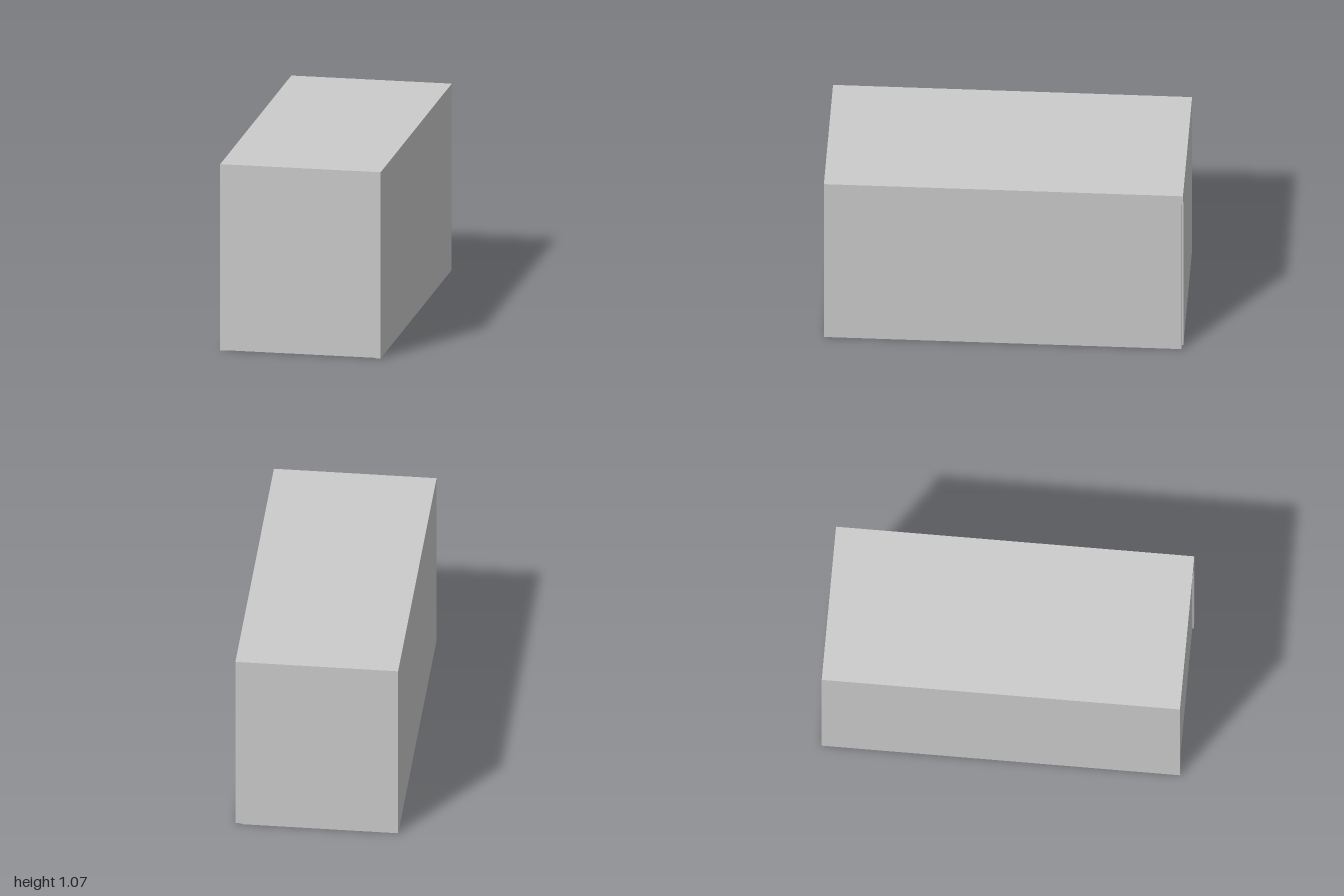
import * as THREE from 'three';

export function createModel() {
  const group = new THREE.Group();
  const material = new THREE.MeshStandardMaterial({ color: 0xcccccc, flatShading: true });

  // Box given by its lower and upper corners
  function panel(name, [x0, y0, z0], [x1, y1, z1]) {
    const mesh = new THREE.Mesh(new THREE.BoxGeometry(x1 - x0, y1 - y0, z1 - z0), material);
    mesh.position.set((x0 + x1) / 2, (y0 + y1) / 2, (z0 + z1) / 2);
    mesh.name = name;
    group.add(mesh);
  }

  const outer = 0.455, inner = 0.417; // half widths outside and inside the side walls
  const roofBottom = 1.01, roofTop = 1.07;
  const wall = 0.04, recess = 0.008;

  // Roof slab over a shell that is open underneath
  panel('roof', [-outer, roofBottom, -1], [outer, roofTop, 1]);

  // Long side walls; the left one stops just short of the back
  panel('leftWall', [inner, 0, -1 + recess], [outer, roofBottom, 1]);
  panel('rightWall', [-outer, 0, -1], [-inner, roofBottom, 1]);

  // End panels between the side walls, the front one slightly set back
  panel('frontPanel', [-inner, 0, 1 - wall], [inner, roofBottom, 1 - recess]);
  panel('backPanel', [-inner, 0, -1], [inner, roofBottom, -1 + wall]);

  return group;
}
